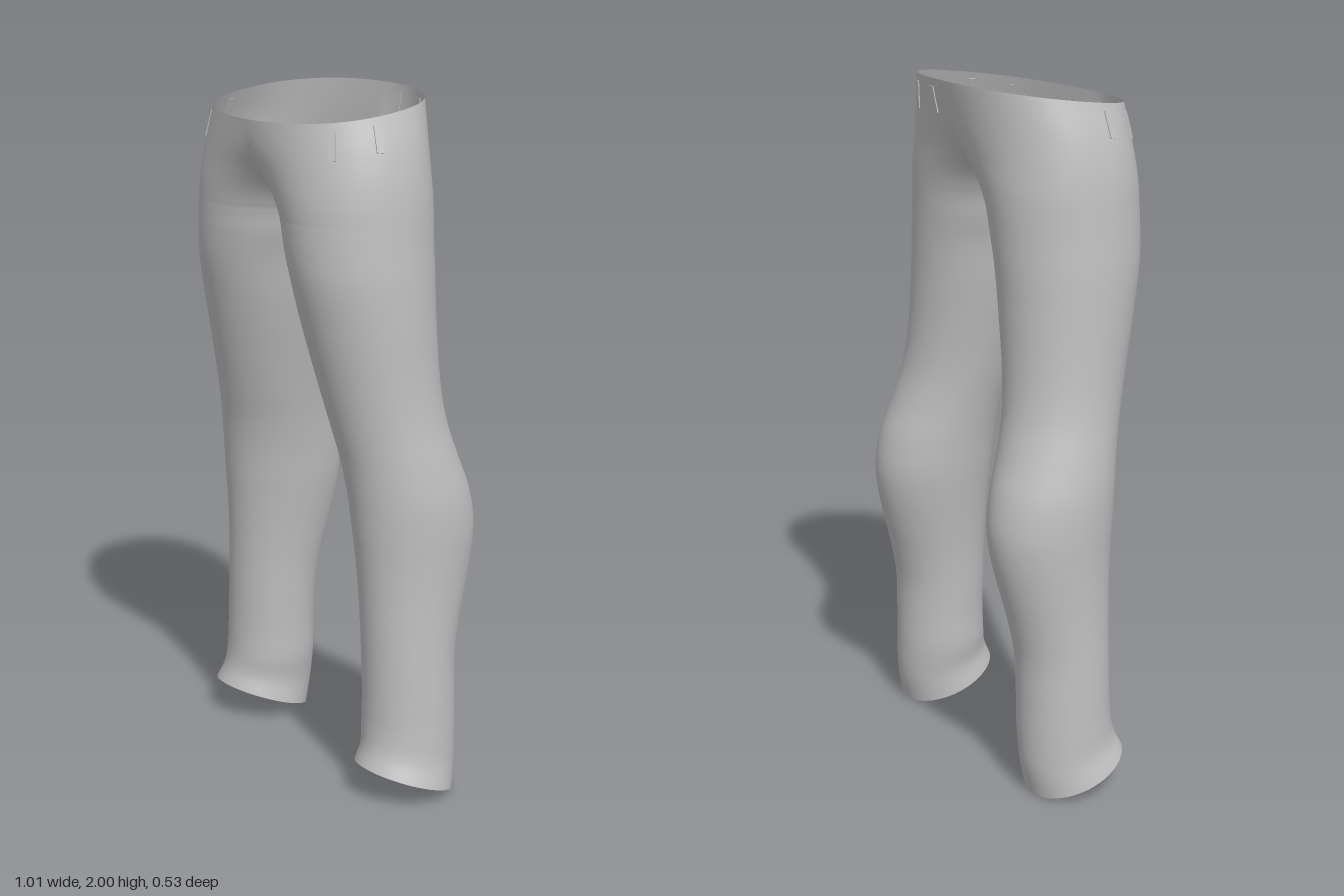
import * as THREE from 'three';
import { mergeVertices } from 'three/addons/utils/BufferGeometryUtils.js';

// Cross-sections of the left leg, hem to waist:
// height, inner x, outer x, front z, back z, tilt, roundness power.
// Above the crotch the inner x is negative: the section is cut at x = 0.
const SECTIONS = [
  [0.055, 0.225, 0.505, 0.120, -0.165, 0.386, 1],
  [0.12, 0.232, 0.487, 0.100, -0.182, 0.25, 1],
  [0.20, 0.222, 0.482, 0.090, -0.187, 0.08, 1],
  [0.30, 0.220, 0.478, 0.086, -0.187, 0, 1],
  [0.42, 0.214, 0.473, 0.086, -0.191, 0, 1],
  [0.52, 0.207, 0.470, 0.088, -0.210, 0, 1],
  [0.62, 0.195, 0.470, 0.091, -0.236, 0, 1],
  [0.72, 0.181, 0.472, 0.097, -0.259, 0, 1],
  [0.80, 0.170, 0.474, 0.104, -0.266, 0, 1],
  [0.90, 0.159, 0.471, 0.113, -0.250, 0, 1],
  [1.00, 0.145, 0.457, 0.126, -0.216, 0, 1],
  [1.10, 0.126, 0.440, 0.147, -0.188, 0, 1],
  [1.20, 0.105, 0.430, 0.170, -0.175, 0, 1],
  [1.40, 0.062, 0.422, 0.215, -0.170, 0, 1],
  [1.52, 0.040, 0.417, 0.238, -0.173, 0, 1],
  [1.60, 0.018, 0.411, 0.245, -0.176, 0, 1],
  [1.67, 0, 0.406, 0.247, -0.180, 0, 1],
  [1.73, -0.035, 0.401, 0.249, -0.184, 0, 0.98],
  [1.80, -0.115, 0.391, 0.251, -0.190, -0.02, 0.95],
  [1.88, -0.235, 0.372, 0.257, -0.204, -0.08, 0.92],
  [1.967, -0.341, 0.341, 0.262, -0.222, -0.136, 0.88],
];
const SIDES = 56;
const STEPS = 6;

const profile = new THREE.CubicInterpolant(
  SECTIONS.map((s) => s[0]), SECTIONS.flatMap((s) => s.slice(1)), 6, new Float32Array(6));

const signedPow = (v, p) => Math.sign(v) * Math.abs(v) ** p;

// Point on the left half; u runs from the inside, by the front and outside, to the back
function surfacePoint(h, u) {
  const [inner, outer, front, back, tilt, p] = profile.evaluate(h);
  const cx = (inner + outer) / 2, ax = (outer - inner) / 2;
  const az = (front - back) / 2;
  const start = inner < -1e-5 ? Math.acos(Math.min(1, Math.max(0, cx / ax) ** (1 / p))) : 0;
  const t = start + u * (2 * Math.PI - 2 * start);
  const dz = az * signedPow(Math.sin(t), p);
  const x = cx - ax * signedPow(Math.cos(t), p);
  return new THREE.Vector3(Math.max(0, x), h + tilt * dz, (front + back) / 2 + dz);
}

// Both mirrored halves, welded along the centre seam
function trouserGeometry() {
  const heights = [];
  for (let i = 0; i < SECTIONS.length - 1; i++) {
    for (let k = 0; k < STEPS; k++) {
      heights.push(THREE.MathUtils.lerp(SECTIONS[i][0], SECTIONS[i + 1][0], k / STEPS));
    }
  }
  heights.push(SECTIONS[SECTIONS.length - 1][0]);

  const positions = [], index = [];
  for (const side of [1, -1]) {
    const base = positions.length / 3;
    for (const h of heights) {
      for (let j = 0; j <= SIDES; j++) {
        const v = surfacePoint(h, j / SIDES);
        positions.push(side * v.x, v.y, v.z);
      }
    }
    for (let i = 0; i < heights.length - 1; i++) {
      for (let j = 0; j < SIDES; j++) {
        const a = base + i * (SIDES + 1) + j, b = a + 1;
        const d = a + SIDES + 1, c = d + 1;
        if (side > 0) index.push(a, b, c, a, c, d);
        else index.push(a, c, b, a, d, c);
      }
    }
  }
  const geometry = new THREE.BufferGeometry();
  geometry.setAttribute('position', new THREE.Float32BufferAttribute(positions, 3));
  geometry.setIndex(index);
  const welded = mergeVertices(geometry, 1e-5);
  welded.computeVertexNormals();
  return welded;
}

// Thin belt loop lying on the cloth at height h and position u
function beltLoop(material, h, u, side) {
  const p = surfacePoint(h, u);
  const along = surfacePoint(h, u + 0.01).sub(surfacePoint(h, u - 0.01));
  const up = surfacePoint(h + 0.02, u).sub(surfacePoint(h - 0.02, u));
  const normal = along.cross(up).normalize();
  for (const v of [p, normal, up]) v.x *= side;
  const loop = new THREE.Mesh(new THREE.BoxGeometry(0.02, 0.075, 0.006), material);
  loop.name = 'beltLoop';
  loop.up.copy(up.normalize());
  loop.position.copy(p);
  loop.lookAt(p.clone().add(normal));
  return loop;
}

export function createModel() {
  const cloth = new THREE.MeshStandardMaterial({ color: 0xbfbfbf, side: THREE.DoubleSide });
  cloth.name = 'grey cloth';

  const model = new THREE.Group();
  model.name = 'trousers';

  const trousers = new THREE.Mesh(trouserGeometry(), cloth);
  trousers.name = 'trouserCloth';
  model.add(trousers);

  // Belt loops: front and side pairs, then two at the back
  const loops = new THREE.Group();
  loops.name = 'beltLoops';
  for (const side of [1, -1]) {
    loops.add(beltLoop(cloth, 1.9, 0.29, side), beltLoop(cloth, 1.91, 0.44, side));
  }
  loops.add(beltLoop(cloth, 1.915, 0.95, 1), beltLoop(cloth, 1.915, 0.84, 1));
  model.add(loops);
  return model;
}
